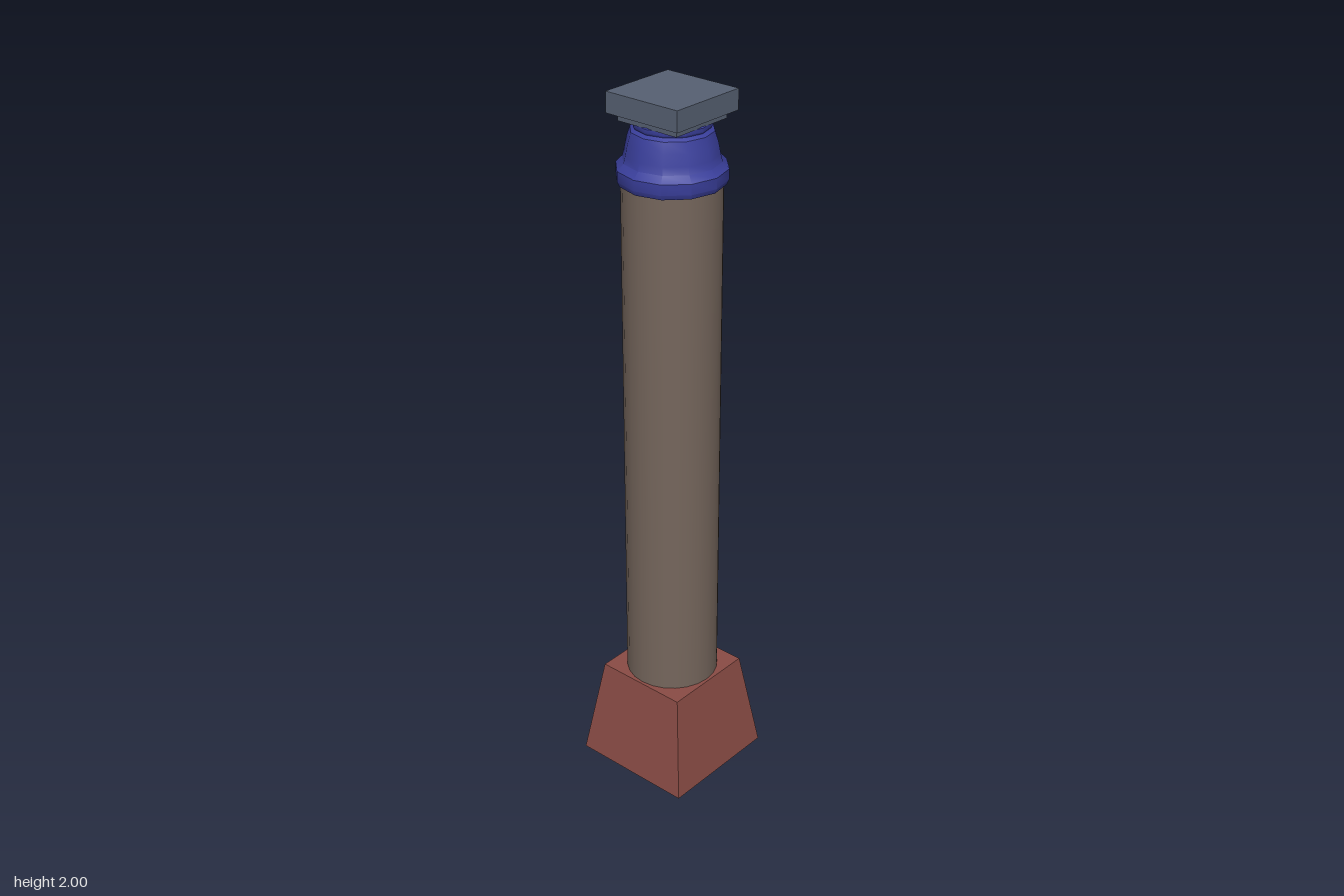
import * as THREE from 'three';
import { toCreasedNormals } from 'three/addons/utils/BufferGeometryUtils.js';

function material(color, options = {}) {
  return new THREE.MeshStandardMaterial({ color, ...options });
}

function addPart(group, name, geometry, mat, y = 0) {
  const mesh = new THREE.Mesh(geometry, mat);
  mesh.name = name;
  mesh.position.y = y;
  group.add(mesh);
  return mesh;
}

export function createModel() {
  const group = new THREE.Group();
  group.name = 'column';

  const red = material(0x8a4c45, { flatShading: true, side: THREE.DoubleSide });
  const stone = material(0x75665c);
  const blue = material(0x3a3f9c, { side: THREE.DoubleSide });
  const slate = material(0x566072, { flatShading: true });

  // Tapered square base: hollow underneath, closed on top
  const baseHeight = 0.295, baseTop = 0.138, baseBottom = 0.182;
  const walls = new THREE.CylinderGeometry(
    baseTop * Math.SQRT2, baseBottom * Math.SQRT2, baseHeight, 4, 1, true);
  walls.rotateY(Math.PI / 4);
  addPart(group, 'baseWalls', walls, red, baseHeight / 2);
  const lid = new THREE.PlaneGeometry(baseTop * 2, baseTop * 2).rotateX(-Math.PI / 2);
  addPart(group, 'baseTop', lid, red, baseHeight);

  // Round shaft
  const shaftHeight = 1.485;
  const shaft = new THREE.CylinderGeometry(0.13, 0.13, shaftHeight, 24, 1, true);
  addPart(group, 'shaft', shaft, stone, baseHeight + shaftHeight / 2);

  // Twelve-sided moulded capital
  const profile = [
    [0.125, 1.767], [0.138, 1.767], [0.144, 1.78], [0.144, 1.808],
    [0.127, 1.825], [0.122, 1.845], [0.116, 1.875], [0.107, 1.903],
    [0.097, 1.91], [0.1, 1.915], [0.1, 1.925], [0.09, 1.93], [0, 1.93],
  ].map(([r, y]) => new THREE.Vector2(r, y));
  const capital = toCreasedNormals(new THREE.LatheGeometry(profile, 12), 0.6);
  addPart(group, 'capital', capital, blue);

  // Square neck and top slab
  addPart(group, 'neck', new THREE.BoxGeometry(0.19, 0.022, 0.19), slate, 1.936);
  addPart(group, 'topSlab', new THREE.BoxGeometry(0.23, 0.055, 0.23), slate, 1.9725);

  return group;
}
